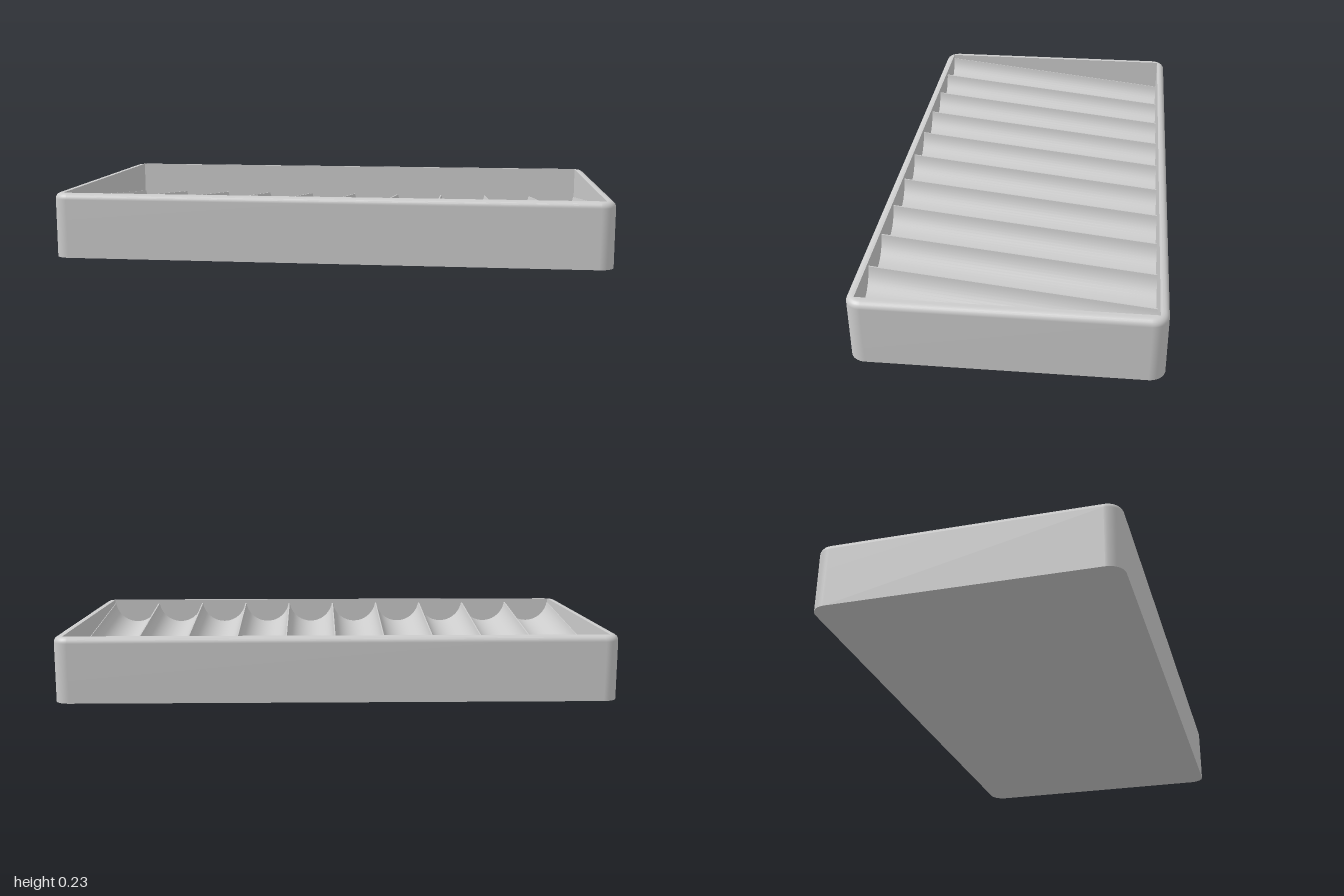
import * as THREE from 'three';

const HX = 1, HZ = 0.515, H = 0.235;       // outer half sizes and height
const IX = 0.965, IZ = 0.485;              // inner half sizes
const CORNER = 0.055, FILLET = 0.022;
const FLOOR = 0.02, GROOVES = 10, RIDGE = 0.005, DEPTH = 0.08;

// Height of the sloping ridge line: low at the back, near the rim at the front
const ridgeY = z => 0.165 + 0.11 * z;

// Points around a rounded rectangle, shrunk by an inset
function outline(inset, steps = 10) {
  const pts = [], r = CORNER - inset;
  [[1, 1], [-1, 1], [-1, -1], [1, -1]].forEach(([sx, sz], q) => {
    for (let i = 0; i <= steps; i++) {
      const a = (q + i / steps) * Math.PI / 2;
      pts.push(new THREE.Vector2(sx * (HX - CORNER) + r * Math.cos(a), sz * (HZ - CORNER) + r * Math.sin(a)));
    }
  });
  return pts;
}

// Outer skin: outlines stacked along a wall-and-fillet profile
function skinGeometry() {
  const profile = [[0, 0], [0, H - FILLET]];
  for (let i = 1; i <= 6; i++) {
    const a = i / 6 * Math.PI / 2;
    profile.push([FILLET * (1 - Math.cos(a)), H - FILLET + FILLET * Math.sin(a)]);
  }
  const pos = [], idx = [], n = outline(0).length;
  profile.forEach(([inset, y], j) => {
    outline(inset).forEach((p, k) => {
      pos.push(p.x, y, p.y);
      if (j === profile.length - 1) return;
      const a = j * n + k, b = j * n + (k + 1) % n;
      idx.push(a, a + n, b, b, a + n, b + n);
    });
  });
  const g = new THREE.BufferGeometry();
  g.setAttribute('position', new THREE.Float32BufferAttribute(pos, 3));
  g.setIndex(idx);
  g.computeVertexNormals();
  return g;
}

// Lengthwise strip following the slope, sunk by a circular arc
function stripGeometry(width, segments, depth) {
  const g = new THREE.PlaneGeometry(width, 2 * IZ, segments, 1).rotateX(-Math.PI / 2);
  const p = g.attributes.position, half = width / 2;
  const r = depth ? (half * half + depth * depth) / (2 * depth) : 0;
  for (let i = 0; i < p.count; i++) {
    // even angular spacing across the arc
    let x = p.getX(i), sag = 0;
    if (depth) {
      const a = x / half * Math.asin(half / r);
      x = r * Math.sin(a);
      sag = depth - r * (1 - Math.cos(a));
    }
    p.setXYZ(i, x, ridgeY(p.getZ(i)) - sag, p.getZ(i));
  }
  g.computeVertexNormals();
  return g;
}

export function createModel() {
  const model = new THREE.Group();
  model.name = 'groovedTray';
  const material = new THREE.MeshStandardMaterial({ color: 0xcccccc, side: THREE.DoubleSide });
  const add = (name, geometry, parent = model) => {
    const mesh = new THREE.Mesh(geometry, material);
    mesh.name = name;
    parent.add(mesh);
    return mesh;
  };

  // Outer shell, underside and flat rim
  add('outerWall', skinGeometry());
  add('base', new THREE.ShapeGeometry(new THREE.Shape(outline(0))).rotateX(Math.PI / 2));
  const rim = new THREE.Shape(outline(FILLET));
  rim.holes.push(new THREE.Path([[-IX, -IZ], [-IX, IZ], [IX, IZ], [IX, -IZ]].map(p => new THREE.Vector2(...p))));
  add('rim', new THREE.ShapeGeometry(rim).rotateX(-Math.PI / 2).translate(0, H, 0));

  // Inner walls, facing inwards
  const walls = new THREE.Group();
  walls.name = 'innerWalls';
  model.add(walls);
  for (let i = 0; i < 4; i++) {
    const side = i % 2, a = i * Math.PI / 2;
    const wall = new THREE.PlaneGeometry(2 * (side ? IZ : IX), H - FLOOR);
    wall.translate(0, (H + FLOOR) / 2, -(side ? IX : IZ)).rotateY(a);
    add('innerWall', wall, walls);
  }

  // Sloping grooves with narrow flat ridges between them
  const floor = new THREE.Group();
  floor.name = 'groovedFloor';
  model.add(floor);
  const pitch = 2 * IX / GROOVES;
  const groove = stripGeometry(pitch - RIDGE, 24, DEPTH);
  const ridge = stripGeometry(RIDGE, 1, 0);
  for (let i = 0; i <= GROOVES; i++) {
    const x = -IX + i * pitch;
    add('ridge', ridge, floor).position.x = x;
    if (i < GROOVES) add('groove', groove, floor).position.x = x + pitch / 2;
  }
  return model;
}
